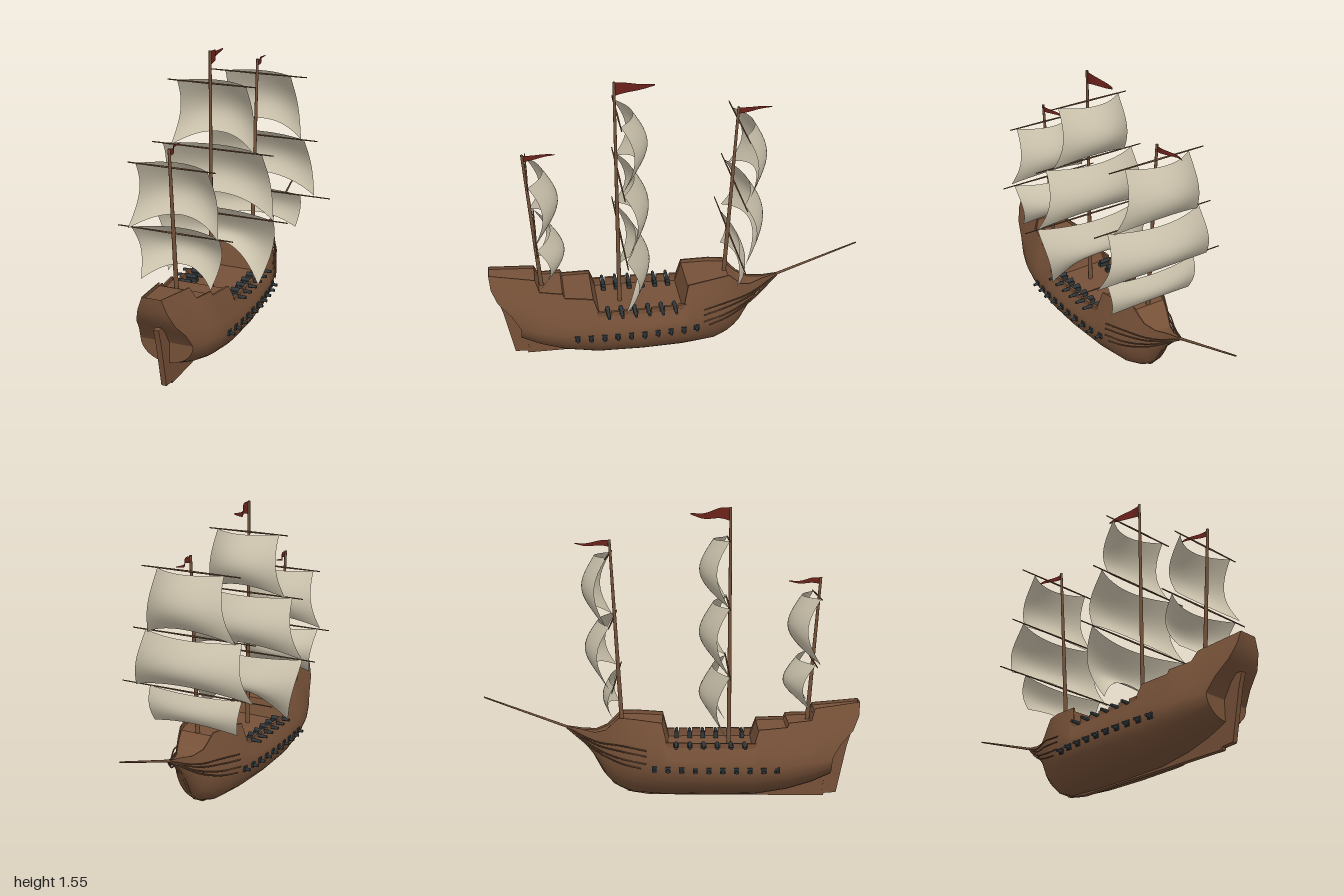
import * as THREE from 'three';
import { toCreasedNormals } from 'three/addons/utils/BufferGeometryUtils.js';

const mat = (name, color, side = THREE.FrontSide) => {
  const m = new THREE.MeshStandardMaterial({ color, side });
  m.name = name;
  return m;
};
const V = (x, y, z) => new THREE.Vector3(x, y, z);

export function createModel() {
  const hullWood = mat('hull wood', 0x765138, THREE.DoubleSide);
  const sparWood = mat('spar wood', 0x74523a);
  const canvas = mat('sail canvas', 0xcbc2ac, THREE.DoubleSide);
  const red = mat('flag red', 0x6c221b, THREE.DoubleSide);
  const iron = mat('cannon iron', 0x30373a);

  const model = new THREE.Group();
  model.name = 'sailingShip';
  const ship = new THREE.Group();
  ship.name = 'ship';
  ship.rotation.y = 0.132;
  ship.position.x = 0.015;
  model.add(ship);

  const add = (name, geo, material, parent = ship) => {
    const m = new THREE.Mesh(geo, material);
    m.name = name;
    parent.add(m);
    return m;
  };
  // tapered round bar between two points
  const bar = (name, a, b, r0, r1, material, parent = ship, sides = 10) => {
    const m = add(name, new THREE.CylinderGeometry(r1, r0, a.distanceTo(b), sides), material, parent);
    m.position.copy(a).add(b).multiplyScalar(0.5);
    m.quaternion.setFromUnitVectors(V(0, 1, 0), b.clone().sub(a).normalize());
    return m;
  };

  // Hull stations: z, keel y, widest half width, its y, rail half width, rail y, deck y
  const stations = [
    [-0.565, 0.365, 0.006, 0.371, 0.006, 0.380, 0.376],
    [-0.48, 0.300, 0.022, 0.340, 0.020, 0.365, 0.355],
    [-0.41, 0.210, 0.055, 0.300, 0.050, 0.355, 0.345],
    [-0.35, 0.105, 0.092, 0.270, 0.080, 0.375, 0.365],
    [-0.32, 0.075, 0.110, 0.260, 0.090, 0.405, 0.390],
    [-0.28, 0.045, 0.132, 0.250, 0.100, 0.445, 0.425],
    [-0.20, 0.016, 0.165, 0.230, 0.122, 0.443, 0.423],
    [-0.05, 0.010, 0.196, 0.215, 0.145, 0.428, 0.410],
    [-0.02, 0.008, 0.200, 0.212, 0.172, 0.305, 0.285],
    [0.20, 0.008, 0.215, 0.200, 0.186, 0.303, 0.285],
    [0.43, 0.012, 0.214, 0.200, 0.186, 0.305, 0.285],
    [0.46, 0.015, 0.212, 0.202, 0.160, 0.395, 0.380],
    [0.61, 0.040, 0.200, 0.210, 0.140, 0.405, 0.390],
    [0.62, 0.042, 0.199, 0.210, 0.135, 0.428, 0.413],
    [0.74, 0.078, 0.176, 0.222, 0.112, 0.437, 0.422],
    [0.76, 0.086, 0.171, 0.225, 0.082, 0.495, 0.480],
    [0.85, 0.125, 0.140, 0.235, 0.050, 0.525, 0.510],
  ];
  const LOW = 8, UP = 4;
  const section = ([, yk, wm, ym, wt, yt, yd]) => {
    const p = [];
    for (let k = 0; k <= LOW; k++) {
      const t = (k / LOW) * Math.PI / 2;
      p.push([wm * Math.sin(t), ym - (ym - yk) * Math.cos(t)]);
    }
    for (let k = 1; k <= UP; k++) {
      const t = k / UP;
      p.push([wm + (wt - wm) * Math.pow(t, 1.25), ym + (yt - ym) * t]);
    }
    p.push([wt * 0.93, yt], [wt * 0.92, yd], [0, yd]);
    for (let k = p.length - 2; k > 0; k--) p.push([-p[k][0], p[k][1]]);
    return p;
  };
  // the last station leans aft to form the overhanging counter
  const aft = y => y < 0.26 ? 0 : y < 0.41 ? (y - 0.26) * 0.93 : 0.14 + (y - 0.41) * 0.1;
  const pos = [], idx = [];
  let n = 0;
  stations.forEach((st, s) => {
    const pts = section(st);
    n = pts.length;
    const last = s === stations.length - 1;
    pts.forEach(([x, y]) => pos.push(x, y, st[0] + (last ? aft(y) : 0)));
  });
  for (let s = 0; s < stations.length - 1; s++) {
    for (let i = 0; i < n; i++) {
      const a = s * n + i, b = s * n + (i + 1) % n;
      idx.push(a, b, b + n, a, b + n, a + n);
    }
  }
  const e = (stations.length - 1) * n;
  for (let i = 0; i < LOW + UP; i++) {
    const l0 = e + (n - i) % n, l1 = e + n - i - 1;
    idx.push(e + i, e + i + 1, l1, e + i, l1, l0);
  }
  const hullGeo = new THREE.BufferGeometry();
  hullGeo.setAttribute('position', new THREE.Float32BufferAttribute(pos, 3));
  hullGeo.setIndex(idx);
  add('hull', toCreasedNormals(hullGeo, 0.42), hullWood);

  // flat centreline timbers, outlined in (z, y)
  const plate = (name, pts, w) => {
    const g = new THREE.ExtrudeGeometry(new THREE.Shape(pts.map(p => new THREE.Vector2(-p[0], p[1]))),
      { depth: w, bevelEnabled: false });
    g.translate(0, 0, -w / 2);
    g.rotateY(Math.PI / 2);
    add(name, g, hullWood);
  };
  plate('keel', [[-0.24, 0.022], [-0.12, 0.002], [0.82, 0], [0.86, 0.16], [0.74, 0.12], [0.55, 0.06], [-0.1, 0.04]], 0.025);
  plate('rudder', [[0.81, 0.012], [0.888, 0.018], [0.94, 0.27], [0.962, 0.345], [0.86, 0.345]], 0.028);
  plate('beak', [[-0.575, 0.38], [-0.53, 0.345], [-0.43, 0.24], [-0.37, 0.13], [-0.31, 0.06], [-0.23, 0.02],
    [-0.2, 0.05], [-0.32, 0.2], [-0.42, 0.34]], 0.014);

  // interpolates one column of the station list
  const hullAt = (z, col) => {
    const i = stations.findIndex(s => s[0] >= z);
    const a = stations[i - 1], b = stations[i];
    return a[col] + (b[col] - a[col]) * (z - a[0]) / (b[0] - a[0]);
  };

  for (const s of [1, -1]) {
    const side = s > 0 ? 'left' : 'right';
    // lower gun ports with protruding barrels
    for (let i = 0; i < 10; i++) {
      const z = 0.555 - i * 0.0715, w = hullAt(z, 2);
      add(side + 'GunPort', new THREE.BoxGeometry(0.012, 0.03, 0.027), iron).position.set(s * w, 0.19, z);
      bar(side + 'LowerCannon', V(s * (w - 0.03), 0.187, z), V(s * (w + 0.03), 0.187, z), 0.01, 0.008, iron);
    }
    // deck guns on carriages
    for (let i = 0; i < 6; i++) {
      const z = 0.025 + i * 0.072;
      bar(side + 'DeckCannon', V(s * 0.115, 0.312, z), V(s * 0.225, 0.312, z), 0.012, 0.008, iron);
      add(side + 'CannonCarriage', new THREE.BoxGeometry(0.06, 0.02, 0.024), iron).position.set(s * 0.14, 0.295, z);
    }
    // bulwark blocks between the deck guns
    for (let i = 0; i < 7; i++) {
      const z = -0.011 + i * 0.072;
      add(side + 'BulwarkBlock', new THREE.BoxGeometry(0.014, 0.03, 0.047), hullWood)
        .position.set(s * (Math.min(hullAt(z, 4), 0.186) - 0.007), 0.314, z);
    }
    // rails sweeping from the bow to the beak
    for (const [y0, z0, w0] of [[0.285, -0.13, 0.175], [0.255, -0.13, 0.18], [0.215, -0.13, 0.182], [0.19, -0.16, 0.178]]) {
      const c = new THREE.CatmullRomCurve3([V(s * w0, y0, z0), V(s * 0.143, y0 + 0.02, -0.27),
        V(s * 0.085, y0 * 0.55 + 0.155, -0.40), V(s * 0.008, 0.37, -0.565)]);
      add(side + 'BowRail', new THREE.TubeGeometry(c, 16, 0.004, 6), sparWood);
    }
  }

  // Bowsprit
  bar('bowsprit', V(0, 0.29, -0.33), V(0, 0.535, -1.008), 0.009, 0.004, sparWood);

  // Square sail: bowed forward right from the head, bellied in the middle, foot arched
  const sailGeo = (w0, w1, h, arch, depth) => {
    const g = new THREE.PlaneGeometry(2, 1, 20, 14), p = g.attributes.position;
    for (let i = 0; i < p.count; i++) {
      const u = p.getX(i), v = 0.5 - p.getY(i), q = 1 - u * u;
      const half = w0 + (w1 - w0) * Math.pow(v, 1.5);
      p.setXYZ(i, u * half, -h * v + arch * q * v * v,
        -depth * (q * (0.52 + 0.1 * v) + 0.42 * Math.sin(v * Math.PI)));
    }
    g.computeVertexNormals();
    return g;
  };
  // Waving pennant tapering to a point
  const flagGeo = (len, h) => {
    const g = new THREE.PlaneGeometry(1, 1, 16, 2), p = g.attributes.position;
    for (let i = 0; i < p.count; i++) {
      const t = p.getX(i) + 0.5, v = p.getY(i);
      p.setXYZ(i, -0.03 * t + 0.012 * Math.sin(t * 7),
        v * h * (1 - 0.88 * t) + 0.1 * h * Math.sin(t * 7), -t * len);
    }
    g.computeVertexNormals();
    return g;
  };

  // Masts: foot, top, flag [length, height], sails [yard y, yard half, head half, foot half, drop, arch, depth]
  const masts = [
    { name: 'mizzen', foot: [0.40, 0.725], top: [1.185, 0.785], flag: [0.17, 0.035], sails: [
      [1.09, 0.225, 0.185, 0.235, 0.335, 0.07, 0.155], [0.755, 0.30, 0.23, 0.185, 0.265, 0.07, 0.15]] },
    { name: 'main', foot: [0.28, 0.308], top: [1.55, 0.308], flag: [0.21, 0.07], sails: [
      [1.385, 0.235, 0.185, 0.225, 0.34, 0.07, 0.155], [1.05, 0.33, 0.27, 0.335, 0.34, 0.08, 0.155],
      [0.71, 0.41, 0.335, 0.255, 0.36, 0.17, 0.155]] },
    { name: 'fore', foot: [0.40, -0.268], top: [1.38, -0.328], flag: [0.18, 0.035], sails: [
      [1.30, 0.28, 0.19, 0.255, 0.345, 0.07, 0.145], [0.96, 0.355, 0.28, 0.345, 0.31, 0.07, 0.15],
      [0.65, 0.44, 0.27, 0.245, 0.19, 0.04, 0.075]] },
  ];
  for (const m of masts) {
    const g = new THREE.Group();
    g.name = m.name + 'Rig';
    ship.add(g);
    const [y0, z0] = m.foot, [y1, z1] = m.top;
    const zAt = y => z0 + (z1 - z0) * (y - y0) / (y1 - y0);
    bar(m.name + 'Mast', V(0, y0, z0), V(0, y1, z1), 0.012, 0.007, sparWood, g, 12);
    for (const [y, yard, w0, w1, h, arch, depth] of m.sails) {
      const z = zAt(y) - 0.01;
      for (const s of [1, -1]) {
        bar(m.name + 'Yard', V(0, y, z), V(s * yard, y, z), 0.005, 0.003, sparWood, g, 8);
      }
      add(m.name + 'Sail', sailGeo(w0, w1, h, arch, depth), canvas, g).position.set(0, y, z);
    }
    add(m.name + 'Flag', flagGeo(...m.flag), red, g).position.set(0, y1 - m.flag[1] / 2 - 0.003, z1);
  }
  return model;
}
